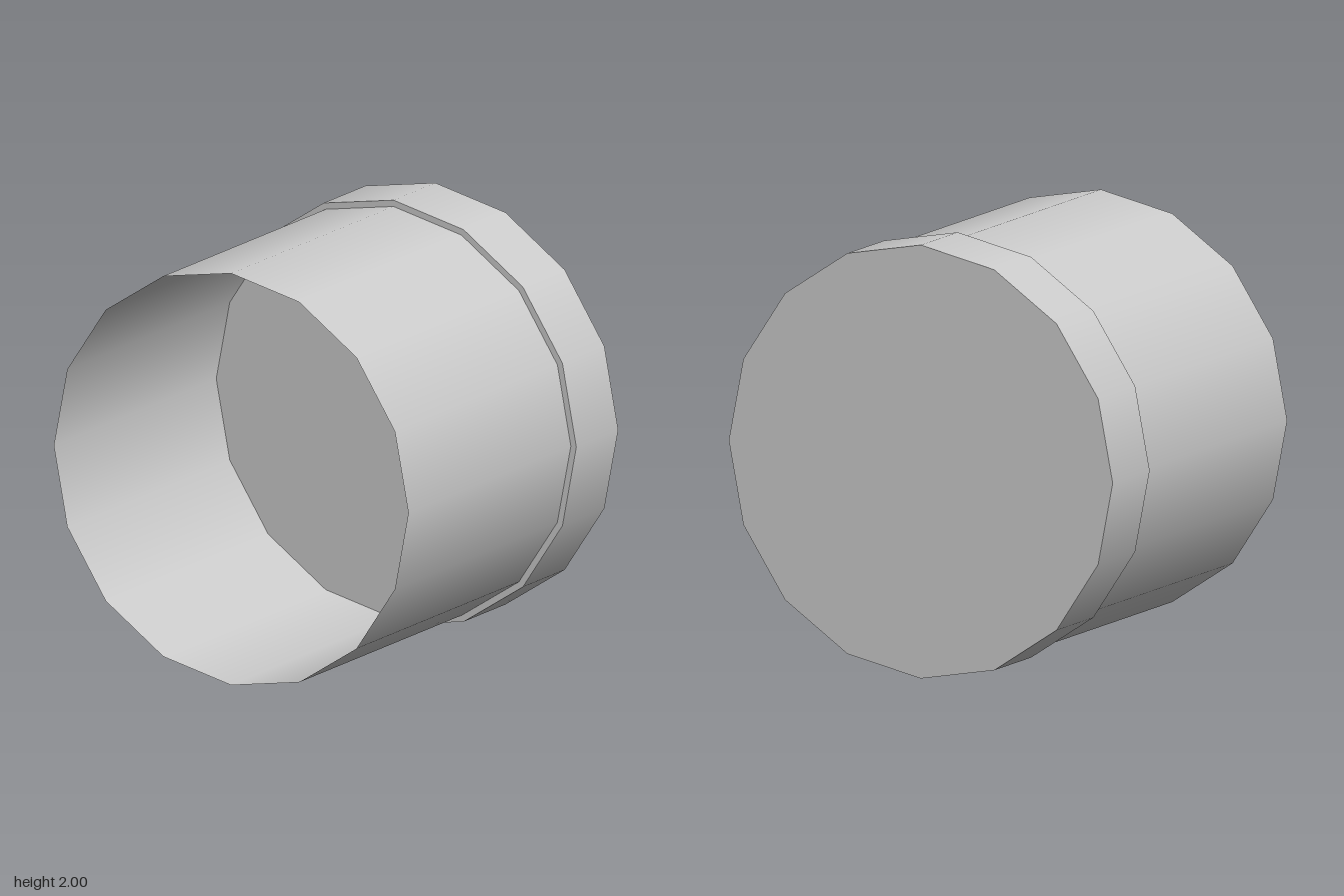
import * as THREE from 'three';

const SIDES = 16;

// Cylinder along z between two depths, centred at height 1
function drum(name, radius, zFront, zBack, open) {
  const geometry = new THREE.CylinderGeometry(radius, radius, zFront - zBack, SIDES, 1, open);
  geometry.rotateX(Math.PI / 2);
  const material = new THREE.MeshStandardMaterial({
    color: 0xcccccc,
    side: open ? THREE.DoubleSide : THREE.FrontSide,
  });
  const mesh = new THREE.Mesh(geometry, material);
  mesh.name = name;
  mesh.position.set(0, 1, (zFront + zBack) / 2);
  return mesh;
}

export function createModel() {
  const group = new THREE.Group();
  group.name = 'cappedTube';
  // Thin tube, open at the front
  group.add(drum('tubeWall', 0.97, 0.822, -0.485, true));
  // Solid, slightly wider cap closing the back
  group.add(drum('endCap', 1, -0.485, -0.822, false));
  return group;
}
